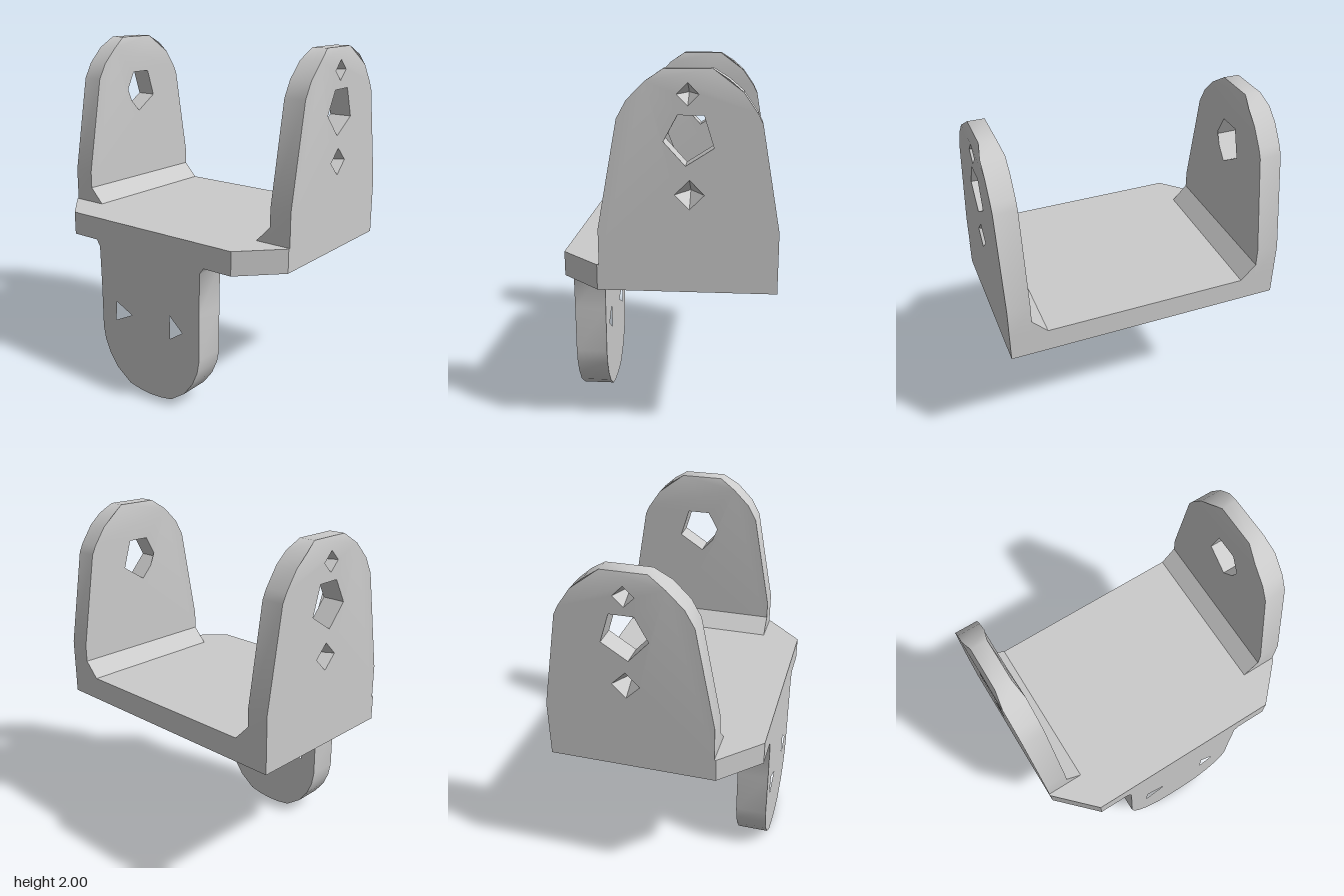
import * as THREE from 'three';
import { toCreasedNormals } from 'three/addons/utils/BufferGeometryUtils.js';

const material = new THREE.MeshStandardMaterial({ color: 0xcccccc });
const points = (list) => list.map(([x, y]) => new THREE.Vector2(x, y));

function extrude(outline, depth, holes = []) {
  const shape = new THREE.Shape(points(outline));
  shape.holes = holes.map((hole) => new THREE.Path(points(hole)));
  return new THREE.ExtrudeGeometry(shape, { depth, bevelEnabled: false });
}

function part(name, geometry) {
  const mesh = new THREE.Mesh(toCreasedNormals(geometry, 0.7), material);
  mesh.name = name;
  return mesh;
}

const INNER = 0.665, OUTER = 0.79, THICK = OUTER - INNER;
const BACK = -0.57, FRONT = 0.57, ARM_FRONT = 0.345;
const FLOOR = 1.01, UNDERSIDE = 0.875;

// Arm profile as [z, y]
const armOutline = [
  [ARM_FRONT, FLOOR], [ARM_FRONT, 1.2], [0.24, 1.76], [0.19, 1.85], [0.1, 1.94], [0.01, 2],
  [-0.23, 2], [-0.31, 1.95], [-0.38, 1.89], [-0.45, 1.79], [-0.475, 1.74], [BACK, 1.2], [BACK, FLOOR],
];
const pivotHole = [[0.01, 1.65], [-0.06, 1.78], [-0.19, 1.78], [-0.24, 1.62], [-0.1, 1.53]];
const pits = [{ z: -0.12, y: 1.385, r: 0.075 }, { z: -0.11, y: 1.88, r: 0.055 }];
const diamond = ({ z, y, r }) => [[z + r, y], [z, y + r], [z - r, y], [z, y - r]];

function arm(side) {
  const geometry = extrude(armOutline, THICK, [pivotHole, ...pits.map(diamond)]);
  const p = geometry.attributes.position;
  const innerDepth = side > 0 ? THICK : 0;
  for (let i = 0; i < p.count; i++) {
    const inner = Math.abs(p.getZ(i) - innerDepth) < 1e-4;
    // Screw pits taper to a point at the inner face, so they stay blind
    for (const pit of pits) {
      const near = Math.hypot(p.getX(i) - pit.z, p.getY(i) - pit.y) < pit.r + 0.002;
      if (inner && near) p.setXY(i, pit.z, pit.y);
    }
    // Slightly narrowed tip
    if (p.getY(i) > 1.98) p.setZ(i, THREE.MathUtils.lerp(p.getZ(i), THICK / 2, 0.28));
  }
  geometry.rotateY(-Math.PI / 2).translate(side > 0 ? OUTER : -INNER, 0, 0);
  return part(side > 0 ? 'leftArm' : 'rightArm', geometry);
}

function armFillet(side) {
  const outline = [[INNER, FLOOR], [0.58, FLOOR], [INNER, 1.1]].map(([x, y]) => [side * x, y]);
  const geometry = extrude(outline, ARM_FRONT - BACK).translate(0, 0, BACK);
  return part(side > 0 ? 'leftArmFillet' : 'rightArmFillet', geometry);
}

export function createModel() {
  const model = new THREE.Group();
  model.name = 'bracket';

  // Horizontal plate with cut front corners
  const plate = extrude([
    [-OUTER, BACK], [OUTER, BACK], [OUTER, 0.355], [0.58, FRONT], [-0.58, FRONT], [-OUTER, 0.355],
  ], FLOOR - UNDERSIDE);
  model.add(part('basePlate', plate.rotateX(Math.PI / 2).translate(0, FLOOR, 0)));

  // Upright arms and the fillets at their feet
  for (const side of [1, -1]) model.add(arm(side), armFillet(side));

  // Hanging tongue with a rounded end and two screw holes
  const half = [
    [0.4, UNDERSIDE], [0.375, 0.84], [0.37, 0.6], [0.37, 0.33], [0.355, 0.25],
    [0.32, 0.17], [0.26, 0.09], [0.16, 0.02], [0.08, 0.005],
  ];
  const tongueOutline = [...half, [0, 0], ...half.map(([x, y]) => [-x, y]).reverse()];
  const screwHoles = [
    [[-0.26, 0.4], [-0.25, 0.52], [-0.13, 0.465]],
    [[0.16, 0.54], [0.25, 0.46], [0.16, 0.4]],
  ];
  const tongueBack = 0.39;
  const tongue = extrude(tongueOutline, FRONT - tongueBack, screwHoles).translate(0, 0, tongueBack);
  model.add(part('tongue', tongue));

  // Fillet behind the tongue, profile as [z, y]
  const wedge = extrude([[tongueBack, 0.8], [tongueBack, UNDERSIDE], [0.35, UNDERSIDE]], 0.76);
  model.add(part('tongueFillet', wedge.rotateY(-Math.PI / 2).translate(0.38, 0, 0)));

  return model;
}
